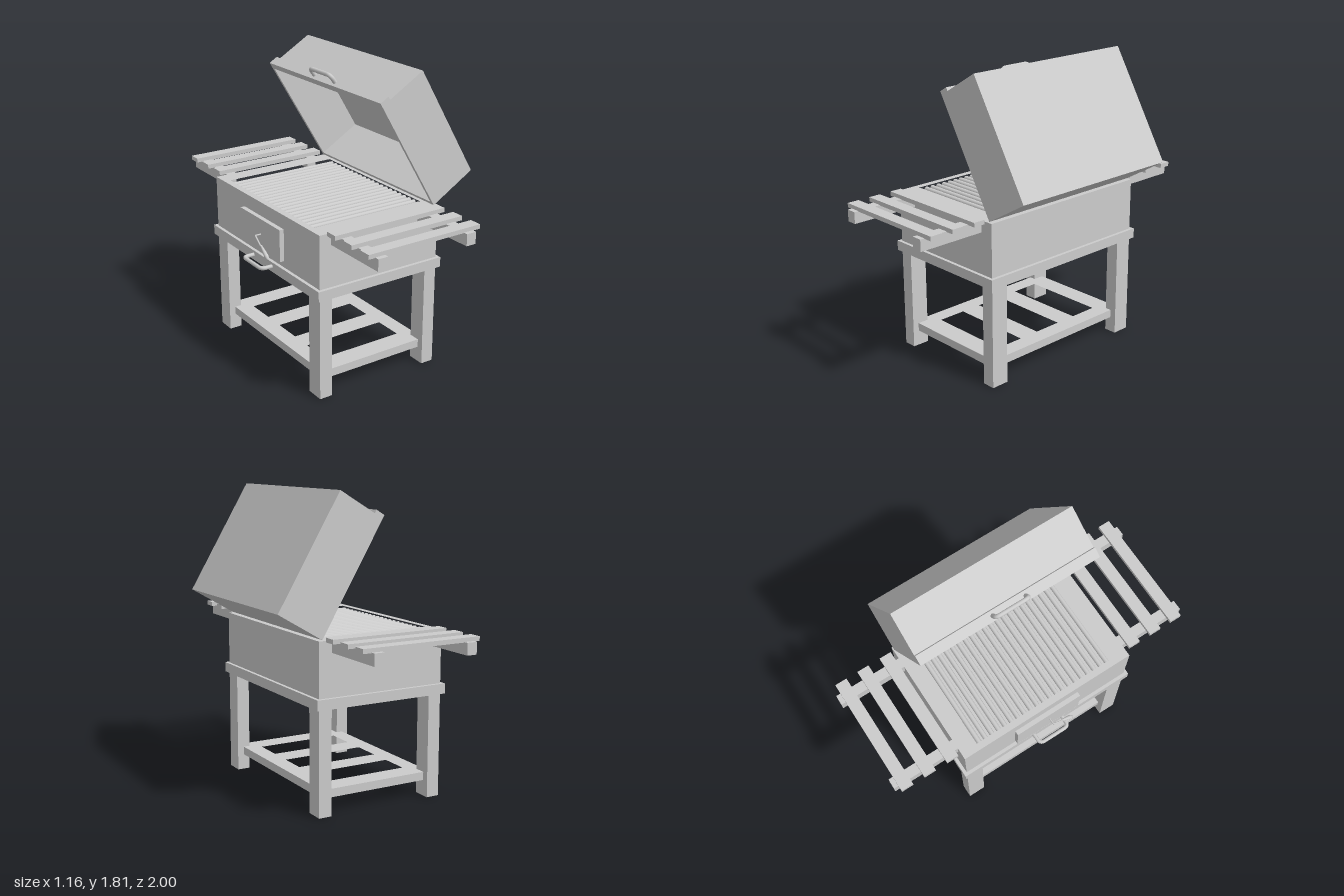
import * as THREE from 'three';

const material = new THREE.MeshStandardMaterial({ color: 0xcccccc });

function add(parent, name, geometry) {
  const mesh = new THREE.Mesh(geometry, material);
  mesh.name = name;
  parent.add(mesh);
  return mesh;
}

// Box given by its extents on each axis
function box(parent, name, x0, x1, y0, y1, z0, z1) {
  const mesh = add(parent, name, new THREE.BoxGeometry(x1 - x0, y1 - y0, z1 - z0));
  mesh.position.set((x0 + x1) / 2, (y0 + y1) / 2, (z0 + z1) / 2);
  return mesh;
}

// Horizontal plate between y0 and y1 with rectangular holes [x0, x1, z0, z1]
function plate(parent, name, [x0, x1, z0, z1], y0, y1, holes) {
  const corners = (a, b, c, d) => [[a, c], [b, c], [b, d], [a, d]].map(([x, z]) => new THREE.Vector2(x, -z));
  const shape = new THREE.Shape(corners(x0, x1, z0, z1));
  for (const h of holes) shape.holes.push(new THREE.Path(corners(...h)));
  const geometry = new THREE.ExtrudeGeometry(shape, { depth: y1 - y0, bevelEnabled: false });
  geometry.rotateX(-Math.PI / 2).translate(0, y0, 0);
  return add(parent, name, geometry);
}

// U-shaped tube handle with rounded bends, reaching from a base along a direction
function barHandle(parent, name, base, dir, reach, half, radius) {
  const bend = 0.03;
  const at = (d, z) => base.clone().addScaledVector(dir, d).add(new THREE.Vector3(0, 0, z));
  const path = new THREE.CurvePath();
  path.add(new THREE.LineCurve3(at(0, -half), at(reach - bend, -half)));
  path.add(new THREE.QuadraticBezierCurve3(at(reach - bend, -half), at(reach, -half), at(reach, -half + bend)));
  path.add(new THREE.LineCurve3(at(reach, -half + bend), at(reach, half - bend)));
  path.add(new THREE.QuadraticBezierCurve3(at(reach, half - bend), at(reach, half), at(reach - bend, half)));
  path.add(new THREE.LineCurve3(at(reach - bend, half), at(0, half)));
  return add(parent, name, new THREE.TubeGeometry(path, 60, radius, 12));
}

export function createModel() {
  const model = new THREE.Group();
  model.name = 'grill';

  // Stand: four legs and a lower shelf with three slots
  for (const x of [-0.48, 0.25])
    for (const z of [-0.575, 0.465]) box(model, 'leg', x, x + 0.08, 0, 0.62, z, z + 0.11);
  const slots = [-1, 0, 1].map((i) => [-0.34, 0.19, i * 0.315 - 0.09, i * 0.315 + 0.09]);
  plate(model, 'lowerShelf', [-0.44, 0.29, -0.535, 0.535], 0.095, 0.145, slots);

  // Firebox: base tray and hollow body
  box(model, 'baseTray', -0.5, 0.35, 0.62, 0.68, -0.595, 0.595);
  plate(model, 'firebox', [-0.48, 0.33, -0.575, 0.575], 0.68, 1.0, [[-0.44, 0.29, -0.47, 0.465]]);

  // Grate of round bars
  const grate = new THREE.Group();
  grate.name = 'grate';
  model.add(grate);
  const bars = 21;
  for (let i = 0; i < bars; i++) {
    const bar = add(grate, 'grateBar', new THREE.CylinderGeometry(0.015, 0.015, 0.75, 12));
    bar.rotation.z = Math.PI / 2;
    bar.position.set(-0.075, 0.975, -0.45 + (0.895 * i) / (bars - 1));
  }

  // Slatted side tables
  for (const s of [-1, 1]) {
    const table = new THREE.Group();
    table.name = 'sideTable';
    model.add(table);
    const span = (name, x0, x1, y0, y1, a, b) =>
      box(table, name, x0, x1, y0, y1, Math.min(s * a, s * b), Math.max(s * a, s * b));
    for (const x of [-0.405, 0.185]) span('tableRail', x, x + 0.063, 0.93, 1.0, 0.57, 1.0);
    for (const z of [0.597, 0.748, 0.897]) span('tableSlat', -0.445, 0.3, 0.997, 1.023, z, z + 0.075);
  }

  // Door with its latch
  box(model, 'door', -0.508, -0.475, 0.72, 0.915, -0.23, 0.21);
  const latch = new THREE.CurvePath();
  const points = [[-0.5, 0.82, 0], [-0.545, 0.82, 0], [-0.545, 0.77, 0.065]].map((p) => new THREE.Vector3(...p));
  latch.add(new THREE.LineCurve3(points[0], points[1]));
  latch.add(new THREE.LineCurve3(points[1], points[2]));
  add(model, 'latchRod', new THREE.TubeGeometry(latch, 24, 0.005, 8));
  const profile = [[0, -0.055], [0.009, -0.05], [0.013, -0.03], [0.011, 0], [0.006, 0.045], [0, 0.05]];
  const grip = add(model, 'latchGrip', new THREE.LatheGeometry(profile.map((p) => new THREE.Vector2(...p)), 14));
  grip.position.set(-0.545, 0.752, 0.1);
  grip.quaternion.setFromUnitVectors(new THREE.Vector3(0, 1, 0), new THREE.Vector3(0, 0.62, -0.78).normalize());

  // Tray handle
  barHandle(model, 'trayHandle', new THREE.Vector3(-0.49, 0.653, 0), new THREE.Vector3(-1, 0, 0), 0.078, 0.103, 0.012);

  // Hollow lid, tilted open about the rear hinge; its local x is depth, y runs towards the front
  const lid = new THREE.Group();
  lid.name = 'lid';
  lid.position.set(0.307, 1.005, 0);
  lid.rotation.z = THREE.MathUtils.degToRad(30.7);
  model.add(lid);
  const depth = 0.314, length = 0.745, half = 0.57, wall = 0.02;
  box(lid, 'lidTop', depth - wall, depth, 0, length, -half, half);
  box(lid, 'lidBack', 0, depth - wall, 0, wall, -half, half);
  box(lid, 'lidFront', 0, depth - wall, length - wall, length, -half, half);
  for (const z of [-half, half - wall]) box(lid, 'lidSide', 0, depth - wall, wall, length - wall, z, z + wall);
  box(lid, 'lidLip', 0, 0.06, length, length + 0.022, -half, half);
  barHandle(lid, 'lidHandle', new THREE.Vector3(0.03, length + 0.015, 0), new THREE.Vector3(-0.1, 1, 0).normalize(), 0.062, 0.105, 0.013);

  return model;
}
